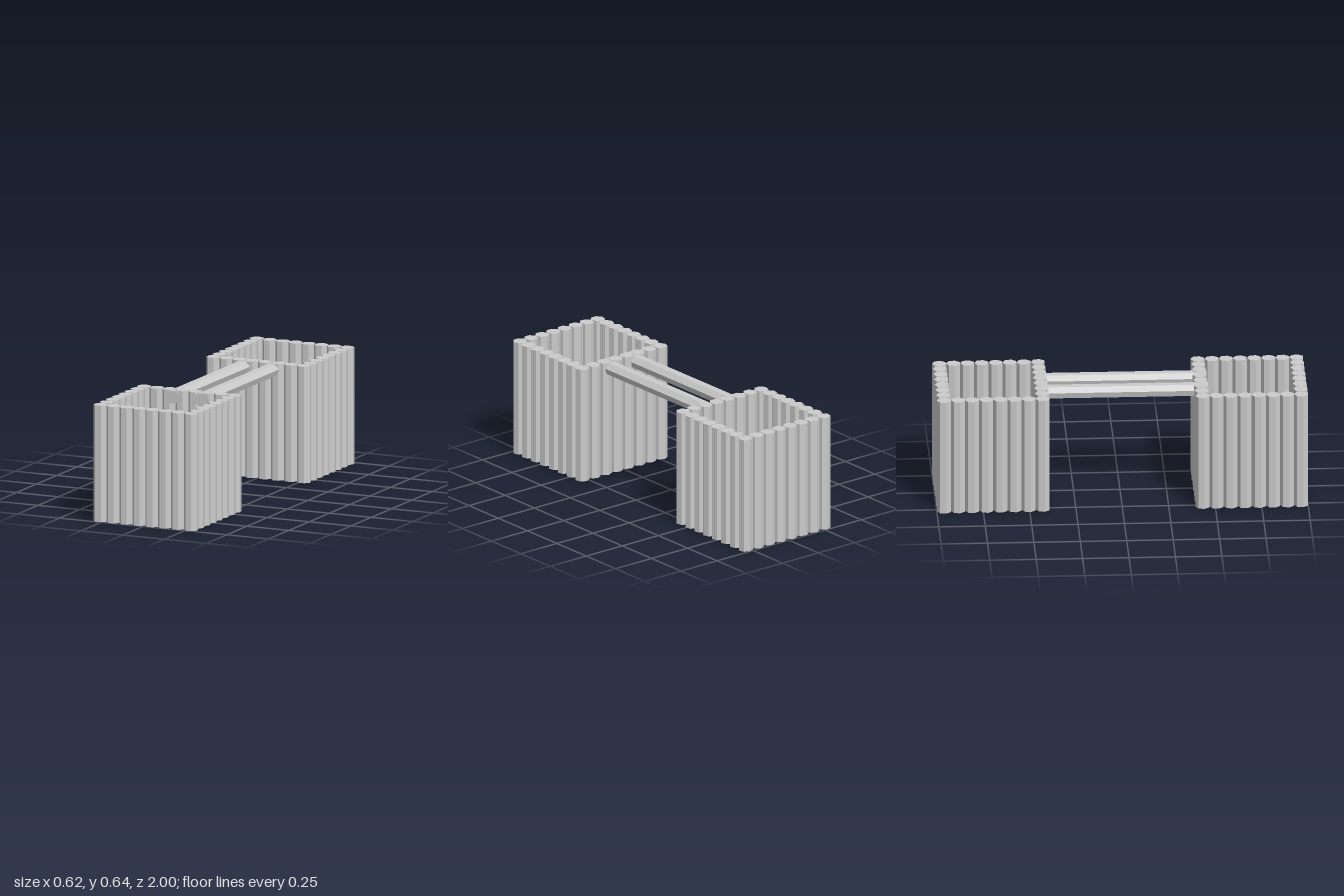
import * as THREE from 'three';

const SIDES = 7, HEIGHT = 0.64, RADIUS = 0.0395;
const COUNT = 8, HALF_X = 0.27, HALF_Z = 0.266;

export function createModel() {
  const model = new THREE.Group();
  const material = new THREE.MeshStandardMaterial({ color: 0xcccccc, flatShading: true });

  // Seven-sided log, standing on the ground with a flat face to the front
  const postGeometry = new THREE.CylinderGeometry(RADIUS, RADIUS, HEIGHT, SIDES);
  postGeometry.rotateY(Math.PI).translate(0, HEIGHT / 2, 0);

  // Square palisade of posts, open at the top and bottom
  function palisade(name, centerZ) {
    const group = new THREE.Group();
    group.name = name;
    for (let i = 0; i < COUNT; i++) {
      for (let j = 0; j < COUNT; j++) {
        const onEdge = i % (COUNT - 1) === 0 || j % (COUNT - 1) === 0;
        if (!onEdge) continue;
        const post = new THREE.Mesh(postGeometry, material);
        post.name = 'post';
        post.position.set(
          HALF_X * (2 * i / (COUNT - 1) - 1), 0,
          HALF_Z * (2 * j / (COUNT - 1) - 1));
        group.add(post);
      }
    }
    group.position.z = centerZ;
    model.add(group);
  }
  palisade('frontPalisade', 0.698);
  palisade('backPalisade', -0.694);

  // Two slightly flattened logs bridging the palisades
  const beamGeometry = new THREE.CylinderGeometry(0.046, 0.046, 0.9, SIDES);
  beamGeometry.rotateX(Math.PI / 2).scale(1, 0.826, 1);
  for (const [name, x] of [['rightBeam', -0.081], ['leftBeam', 0.092]]) {
    const beam = new THREE.Mesh(beamGeometry, material);
    beam.name = name;
    beam.position.set(x, 0.603, 0.02);
    model.add(beam);
  }
  return model;
}
